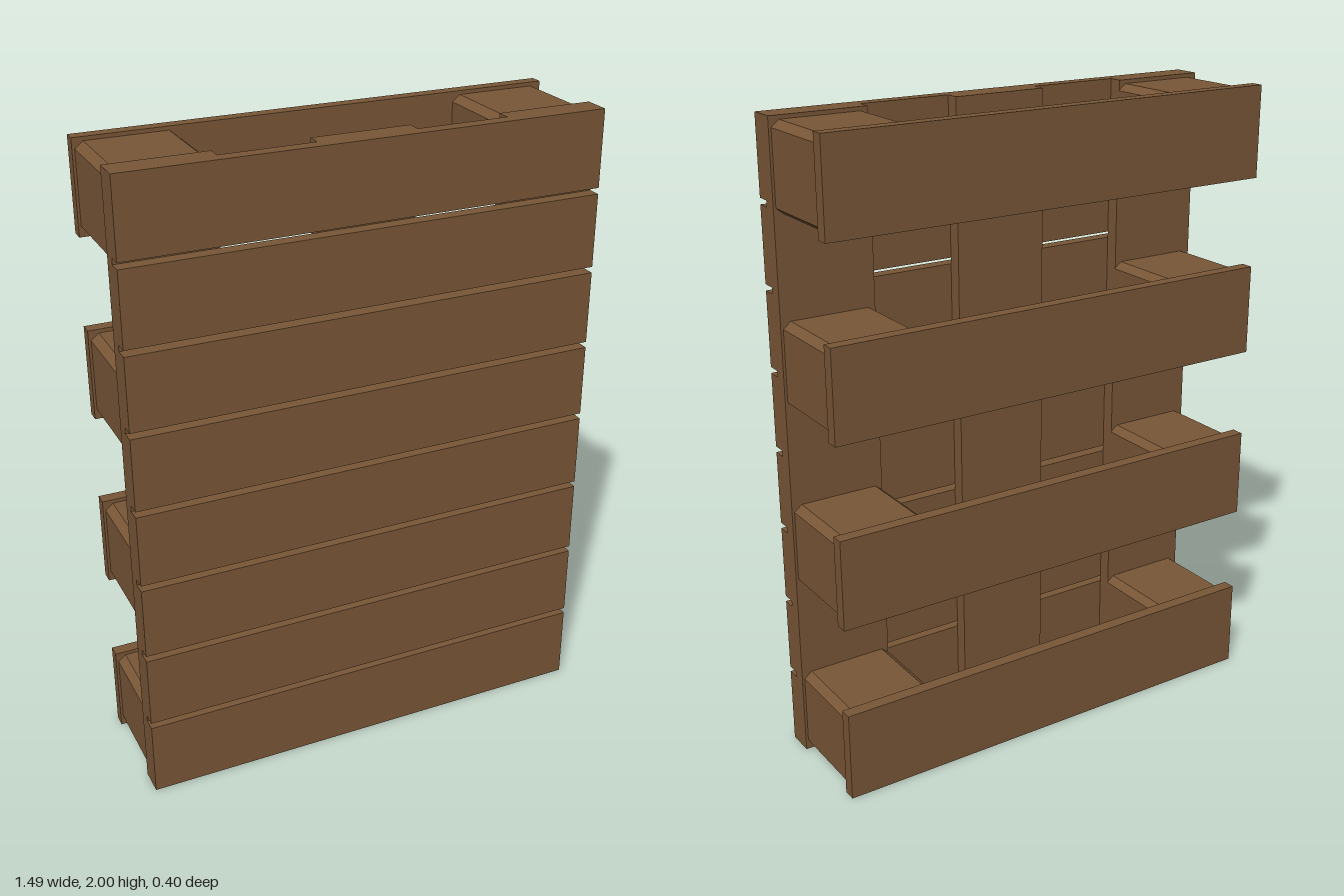
import * as THREE from 'three';

export function createModel() {
  const group = new THREE.Group();
  group.name = 'pallet';
  const wood = new THREE.MeshStandardMaterial({ color: 0x795737 });
  wood.name = 'brown wood';

  const add = (geometry, name) => {
    const mesh = new THREE.Mesh(geometry, wood);
    mesh.name = name;
    group.add(mesh);
    return mesh;
  };
  // Plank given by its lower and upper limits on each axis
  const plank = (name, x0, x1, y0, y1, z0, z1) =>
    add(new THREE.BoxGeometry(x1 - x0, y1 - y0, z1 - z0), name)
      .position.set((x0 + x1) / 2, (y0 + y1) / 2, (z0 + z1) / 2);

  const W = 0.745;

  // Eight closely spaced deck boards on the front
  for (let i = 0; i < 8; i++) {
    const y0 = i === 0 ? 0 : i * 0.25 + 0.011;
    const y1 = i === 7 ? 2 : (i + 1) * 0.25 - 0.008;
    plank('deckBoard', -W, W, y0, y1, 0.158, 0.2);
  }

  // Three upright stringer boards behind the deck
  for (const [x0, x1] of [[-W, -0.441], [-0.153, 0.153], [0.441, W]]) {
    plank('stringerBoard', x0, x1, 0, 2, 0.114, 0.158);
  }

  // Spacer block outline with chamfered corners
  const w = 0.149, h = 0.131, cx = 0.025, cy = 0.02;
  const outline = new THREE.Shape([
    [-w + cx, -h], [w - cx, -h], [w, -h + cy], [w, h - cy],
    [w - cx, h], [-w + cx, h], [-w, h - cy], [-w, -h + cy],
  ].map(([x, y]) => new THREE.Vector2(x, y)));
  const blockGeometry = new THREE.ExtrudeGeometry(outline, { depth: 0.276, bevelEnabled: false });

  // Four rear boards, each carried by a block at both ends
  for (let i = 0; i < 4; i++) {
    const y = 0.143 + i * 0.5713;
    plank('rearBoard', -W, W, y - 0.143, y + 0.143, -0.2, -0.16);
    for (const side of [-1, 1]) {
      add(blockGeometry, 'spacerBlock').position.set(side * 0.588, y, -0.161);
    }
  }
  return group;
}
